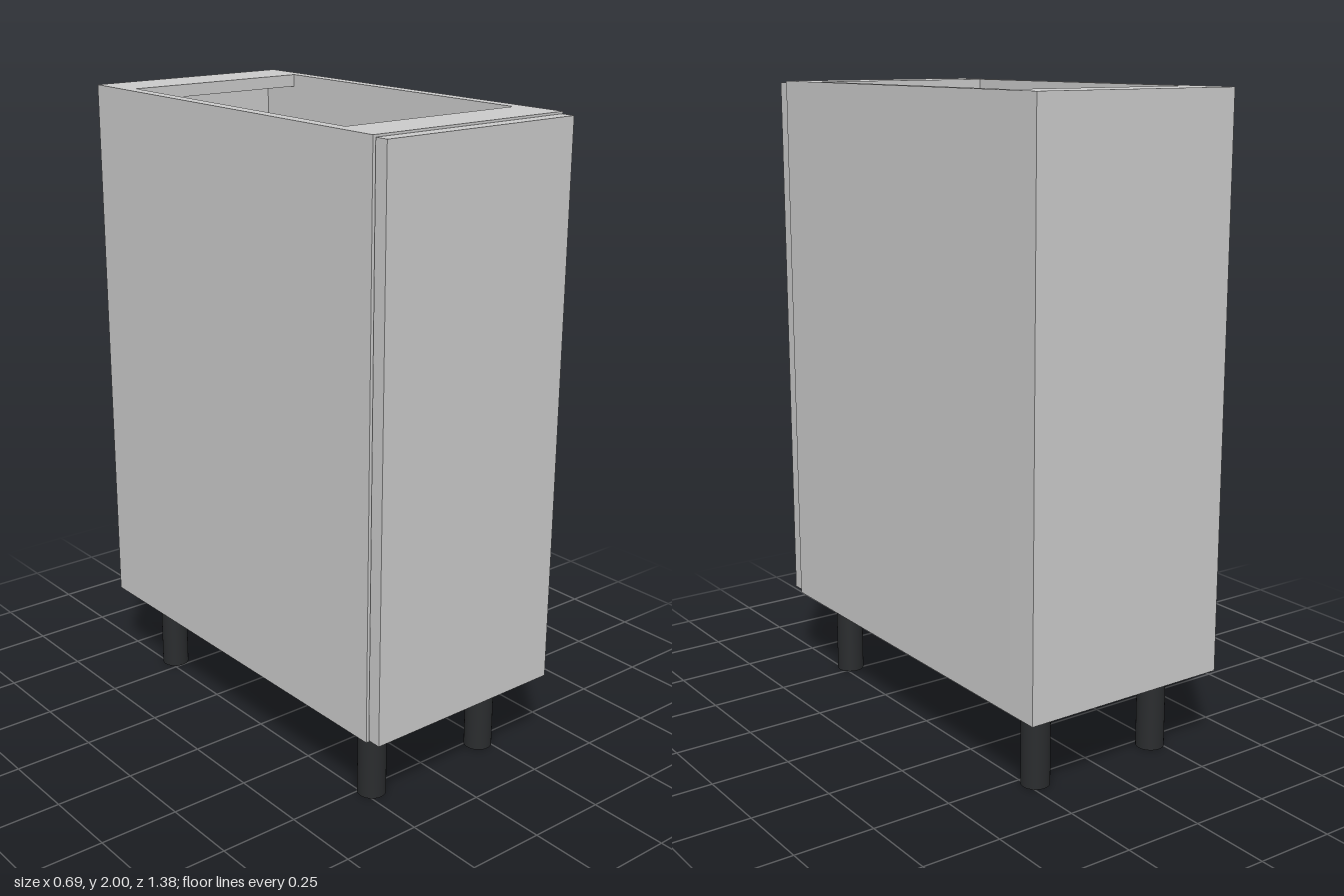
import * as THREE from 'three';

const grey = new THREE.MeshStandardMaterial({ color: 0xcccccc });
const black = new THREE.MeshStandardMaterial({ color: 0x2a2c2e });
const steel = new THREE.MeshStandardMaterial({ color: 0xb0b8bc });

// Box given by its lower and upper limits on each axis
function box(parent, name, [x0, x1], [y0, y1], [z0, z1], material = grey) {
  const mesh = new THREE.Mesh(new THREE.BoxGeometry(x1 - x0, y1 - y0, z1 - z0), material);
  mesh.position.set((x0 + x1) / 2, (y0 + y1) / 2, (z0 + z1) / 2);
  mesh.name = name;
  parent.add(mesh);
  return mesh;
}

// Pull-out tray with low walls, back posts and a railing above
function createTray(floorY) {
  const tray = new THREE.Group();
  tray.name = 'pullOutTray';
  const railY = floorY + 0.39;
  box(tray, 'trayFloor', [-0.28, 0.28], [floorY, floorY + 0.03], [-0.52, 0.645], steel);
  box(tray, 'trayBack', [-0.26, 0.26], [floorY + 0.03, floorY + 0.2], [-0.525, -0.505]);
  box(tray, 'backRailing', [-0.26, 0.26], [railY - 0.01, railY + 0.01], [-0.52, -0.505]);
  for (const s of [-1, 1]) {
    const span = (a, b) => [Math.min(s * a, s * b), Math.max(s * a, s * b)];
    box(tray, 'traySide', span(0.262, 0.285), [floorY, floorY + 0.2], [-0.52, 0.645]);
    box(tray, 'sideRailing', span(0.255, 0.267), [railY - 0.01, railY + 0.01], [-0.52, 0.645]);
    box(tray, 'backPost', span(0.245, 0.27), [floorY + 0.03, railY + 0.12], [-0.53, -0.505]);
  }
  return tray;
}

export function createModel() {
  const cabinet = new THREE.Group();
  cabinet.name = 'baseCabinet';

  // Carcass
  const inner = [-0.307, 0.307];
  box(cabinet, 'rightSide', [-0.345, -0.307], [0.265, 2], [-0.69, 0.642]);
  box(cabinet, 'leftSide', [0.307, 0.345], [0.265, 2], [-0.69, 0.642]);
  box(cabinet, 'bottomPanel', inner, [0.265, 0.303], [-0.69, 0.642]);
  box(cabinet, 'backPanel', inner, [0.303, 1.962], [-0.69, -0.67]);
  box(cabinet, 'backTopRail', inner, [1.962, 2], [-0.69, -0.525]);
  box(cabinet, 'frontTopRail', inner, [1.962, 2], [0.487, 0.642]);

  // Front
  box(cabinet, 'doorFront', [-0.339, 0.339], [0.272, 1.994], [0.646, 0.69]);

  // Inner trays
  cabinet.add(createTray(1.3), createTray(0.42));

  // Legs
  const legGeometry = new THREE.CylinderGeometry(0.044, 0.044, 0.265, 32);
  for (const x of [-0.222, 0.222]) {
    for (const z of [-0.543, 0.525]) {
      const leg = new THREE.Mesh(legGeometry, black);
      leg.position.set(x, 0.1325, z);
      leg.name = 'leg';
      cabinet.add(leg);
    }
  }
  return cabinet;
}
